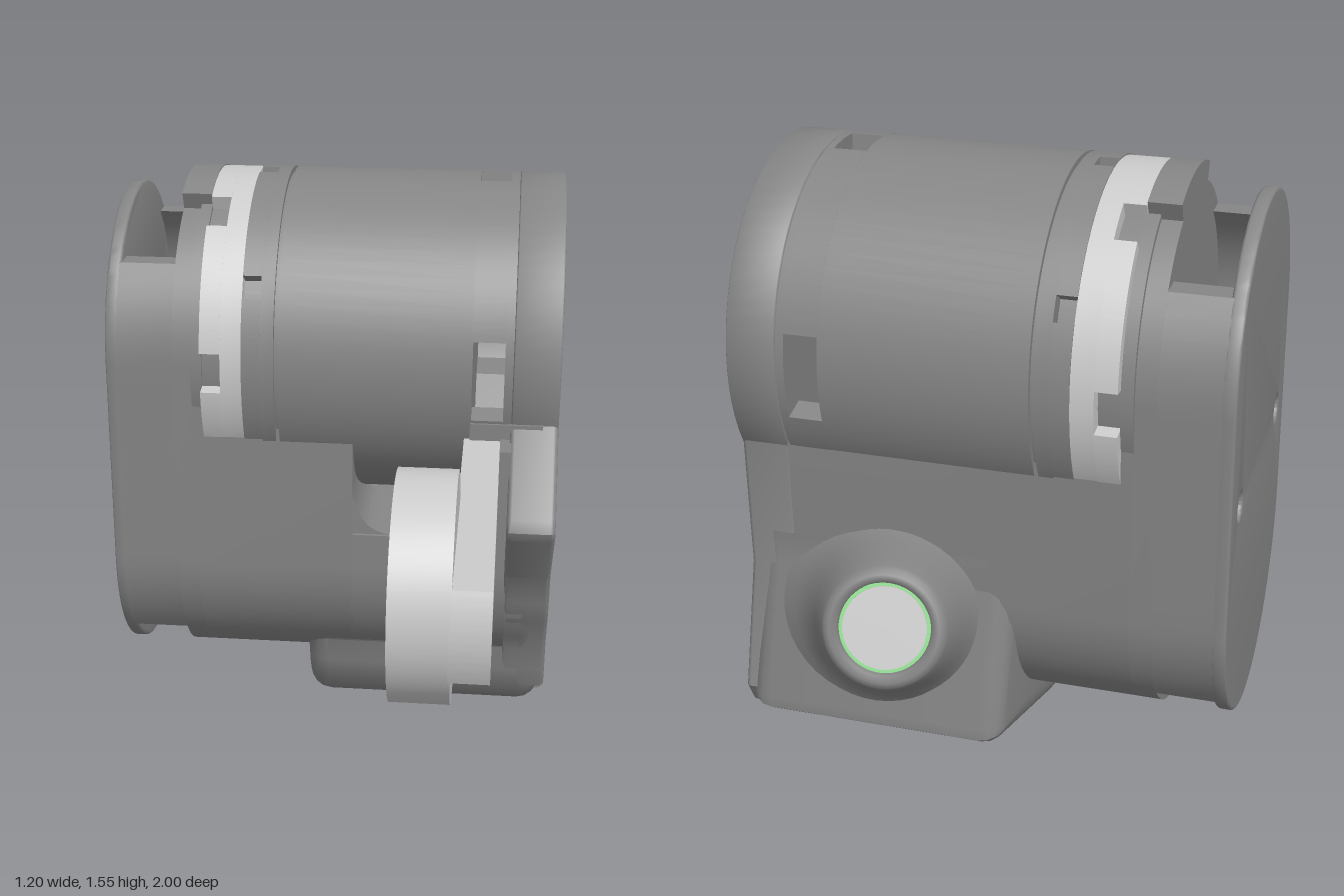
import * as THREE from 'three';
import { toCreasedNormals } from 'three/addons/utils/BufferGeometryUtils.js';

const dark = new THREE.MeshStandardMaterial({ color: 0x858585 });
const light = new THREE.MeshStandardMaterial({ color: 0xcccccc });
const green = new THREE.MeshStandardMaterial({ color: 0x8fdc8f });
const coneMat = new THREE.MeshStandardMaterial({ color: 0x858585, side: THREE.DoubleSide });

const CZ = -0.335, CY = 1.105, LY = 0.54, R = 0.443, RB = 0.395;
const rad = THREE.MathUtils.degToRad;

export function createModel() {
  const model = new THREE.Group();

  function add(name, geo, mat = dark) {
    const mesh = new THREE.Mesh(geo, mat);
    mesh.name = name;
    model.add(mesh);
    return mesh;
  }

  // Side profiles are drawn with u = -z, then extruded along x
  function alongX(name, shape, x0, x1, mat = dark, bevel = 0) {
    const geo = new THREE.ExtrudeGeometry(shape, {
      depth: x1 - x0 - 2 * bevel, curveSegments: 32,
      bevelEnabled: bevel > 0, bevelSize: bevel, bevelThickness: bevel, bevelOffset: -bevel, bevelSegments: 4,
    });
    geo.rotateY(Math.PI / 2).translate(x0 + bevel, 0, 0);
    return add(name, toCreasedNormals(geo, 0.6), mat);
  }
  const profile = (pts) => new THREE.Shape(pts.map(([z, y]) => new THREE.Vector2(-z, y)));

  function stadium(r) {
    const s = new THREE.Shape();
    s.absarc(-CZ, CY, r, 0, Math.PI, false);
    s.absarc(-CZ, LY, r, Math.PI, 2 * Math.PI, false);
    s.closePath();
    return s;
  }
  function hole(z, y, r) {
    const p = new THREE.Path();
    p.absarc(-z, y, r, 0, 2 * Math.PI, true);
    return p;
  }
  function disc(name, r, x0, x1, mat = dark, z = CZ, y = CY) {
    const geo = new THREE.CylinderGeometry(r, r, x1 - x0, 72).rotateZ(Math.PI / 2);
    return add(name, geo.translate((x0 + x1) / 2, y, z), mat);
  }
  function arc(name, r0, r1, x0, x1, a0, a1, mat = dark) {
    const s = new THREE.Shape();
    s.absarc(-CZ, CY, r1, rad(a0), rad(a1), false);
    s.absarc(-CZ, CY, r0, rad(a1), rad(a0), true);
    s.closePath();
    return alongX(name, s, x0, x1, mat);
  }
  function block(name, x0, x1, y0, y1, z0, z1, mat = dark) {
    const geo = new THREE.BoxGeometry(x1 - x0, y1 - y0, z1 - z0);
    return add(name, geo.translate((x0 + x1) / 2, (y0 + y1) / 2, (z0 + z1) / 2), mat);
  }

  // Drum: solid core, smooth shell and end cap
  disc('drumNeck', 0.41, -0.37, -0.34);
  disc('drumCore', 0.4, -0.35, 0.36);
  disc('drumGroove', 0.428, -0.16, -0.13);
  disc('drumShell', R, -0.135, 0.372);
  disc('capSeam', 0.438, 0.455, 0.49);
  disc('capInner', R, 0.455, 0.473);
  const cap = new THREE.Shape();
  cap.absarc(-CZ, CY, R, 0, 2 * Math.PI, false);
  alongX('drumCap', cap, 0.477, 0.6, dark, 0.006);

  // Slotted band: openings at back, top and front
  for (const [a, b] of [[14, 82], [98, 166], [194, 346]])
    arc('slottedBand', 0.38, R, 0.37, 0.457, a, b);

  // Light ring with notches, and the dark collar beside it with smaller notches
  arc('lightRing', 0.38, 0.44, -0.286, -0.23, 0, 359.99, light);
  arc('collar', 0.38, R, -0.181, -0.145, 0, 359.99);
  for (let i = 0; i < 6; i++) {
    arc('ringTooth', 0.38, 0.44, -0.34, -0.286, i * 60 + 7, i * 60 + 53, light);
    arc('collarTooth', 0.38, R, -0.23, -0.181, i * 60 + 34, i * 60 + 86);
  }
  arc('topTab', 0.36, R, -0.42, -0.34, 68, 112);

  // Stadium end plate with two screw holes
  const plate = stadium(RB);
  for (const s of [-1, 1]) plate.holes.push(hole(CZ + s * 0.27, 0.825, 0.035));
  alongX('endPlate', plate, -0.6, -0.563, dark, 0.008);

  // Side walls and screw bosses joining the end plate to the body
  for (const s of [-1, 1]) {
    const curve = (r, y) => {
      const d = Math.max(0, y - CY, LY - y);
      return CZ + s * Math.sqrt(r * r - d * d);
    };
    const ys = Array.from({ length: 25 }, (_, i) => 0.29 + (i / 24) * 1.07);
    const pts = [...ys.map((y) => [curve(RB, y), y]), ...ys.reverse().map((y) => [curve(0.35, y), y])];
    alongX('sideWall', profile(pts), -0.57, -0.41);
    const boss = new THREE.Shape();
    boss.absarc(-(CZ + s * 0.27), 0.825, 0.075, 0, 2 * Math.PI, false);
    boss.holes.push(hole(CZ + s * 0.27, 0.825, 0.035));
    alongX('screwBoss', boss, -0.57, -0.41);
  }

  // Body below the drum, scooped out at the front for the lever
  alongX('bodyBulkhead', stadium(RB), -0.42, -0.365);
  alongX('body', profile([
    ...Array.from({ length: 33 }, (_, i) => {
      const a = (i / 32) * Math.PI;
      return [CZ + RB * Math.cos(a), LY - RB * Math.sin(a)];
    }),
    [-0.73, 1.0], [0.06, 1.0],
  ]), -0.37, 0.06);
  alongX('bodyBehindScoop', profile([
    ...Array.from({ length: 33 }, (_, i) => {
      const a = (i / 32) * Math.PI;
      return [CZ + RB * Math.cos(a), LY - RB * Math.sin(a)];
    }),
    [-0.73, 0.92], [-0.55, 0.9], [-0.4, 0.64], [0.06, 0.64],
  ]), 0.05, 0.48);
  const fillet = new THREE.Shape();
  fillet.moveTo(0.055, 0.635);
  fillet.lineTo(0.17, 0.64);
  fillet.quadraticCurveTo(0.06, 0.645, 0.06, 0.8);
  fillet.lineTo(0.055, 0.8);
  add('scoopFillet', new THREE.ExtrudeGeometry(fillet, { depth: 0.25, bevelEnabled: false }).translate(0, 0, -0.2));
  block('scoopLight', 0.13, 0.22, 0.63, 0.662, -0.38, -0.3, green);

  // Rounded gearbox under the drum
  alongX('gearbox', profile([
    [0.055, 0.62], [0.05, 0.5], [0.03, 0.4], [-0.02, 0.31], [-0.065, 0.25], [-0.07, 0.18], [-0.1, 0.1],
    [-0.15, 0.045], [-0.21, 0.01], [-0.28, 0], [-0.33, 0.01], [-0.82, 0.195], [-0.845, 0.215],
    [-0.845, 0.245], [-0.73, 0.57], [-0.73, 0.66], [-0.1, 0.64],
  ]), -0.08, 0.585, dark, 0.06);

  // Flat cheek with a forward wing and a notched lower corner
  alongX('cheek', profile([
    [0.09, 0.99], [0.28, 0.8], [0.293, 0.77], [0.285, 0.745], [0.075, 0.54], [0.05, 0.45], [0.02, 0.38],
    [-0.06, 0.26], [-0.07, 0.18], [-0.095, 0.115], [-0.28, 0.115], [-0.28, 0.005], [-0.33, 0.012],
    [-0.79, 0.19], [-0.82, 0.25], [-0.728, 0.56], [-0.728, 0.92], [-0.6, 1.0], [0, 1.0],
  ]), 0.475, 0.6, dark, 0.012);
  block('leverGuide', 0.45, 0.48, 0.7, 0.95, -0.05, 0.19);
  block('leverClip', 0.37, 0.56, 0.945, 0.99, 0.03, 0.1);

  // Lever: flat arm carrying a thick wheel
  const arm = new THREE.Shape();
  arm.moveTo(0.03, 0.71);
  arm.lineTo(0.03, 0.94);
  arm.lineTo(-0.975, 0.94);
  arm.quadraticCurveTo(-1.025, 0.825, -0.975, 0.71);
  alongX('leverArm', arm, 0.355, 0.45, light);

  const wheel = new THREE.Shape();
  wheel.absarc(-0.727, 0.827, 0.273, rad(37), rad(323), false);
  wheel.quadraticCurveTo(-0.5, 0.71, -0.43, 0.71);
  wheel.lineTo(-0.43, 0.94);
  wheel.quadraticCurveTo(-0.5, 0.94, -0.509, 0.991);
  alongX('leverWheel', wheel, 0.218, 0.36, light);

  // Flared button housing on the back, with lens and coloured ring
  const button = new THREE.Group();
  button.name = 'button';
  const flare = [[0.32, -0.3], [0.255, -0.24], [0.215, -0.19], [0.185, -0.12], [0.165, -0.06], [0.15, -0.02],
    [0.142, -0.006], [0.13, 0], [0.112, 0], [0.108, -0.025]];
  const housing = new THREE.LatheGeometry(flare.map(([r, h]) => new THREE.Vector2(r, h)), 48);
  const lens = new THREE.CylinderGeometry(0.1, 0.1, 0.04, 48).translate(0, -0.035, 0);
  const glow = new THREE.CylinderGeometry(0.112, 0.112, 0.03, 48).translate(0, -0.034, 0);
  for (const [name, geo, mat] of [['buttonHousing', housing, coneMat], ['buttonLens', lens, light], ['buttonRing', glow, green]]) {
    const mesh = new THREE.Mesh(geo, mat);
    mesh.name = name;
    button.add(mesh);
  }
  button.position.set(0.17, 0.57, -0.95);
  button.quaternion.setFromUnitVectors(new THREE.Vector3(0, 1, 0), new THREE.Vector3(-0.2, 0.33, -0.92).normalize());
  model.add(button);

  return model;
}
